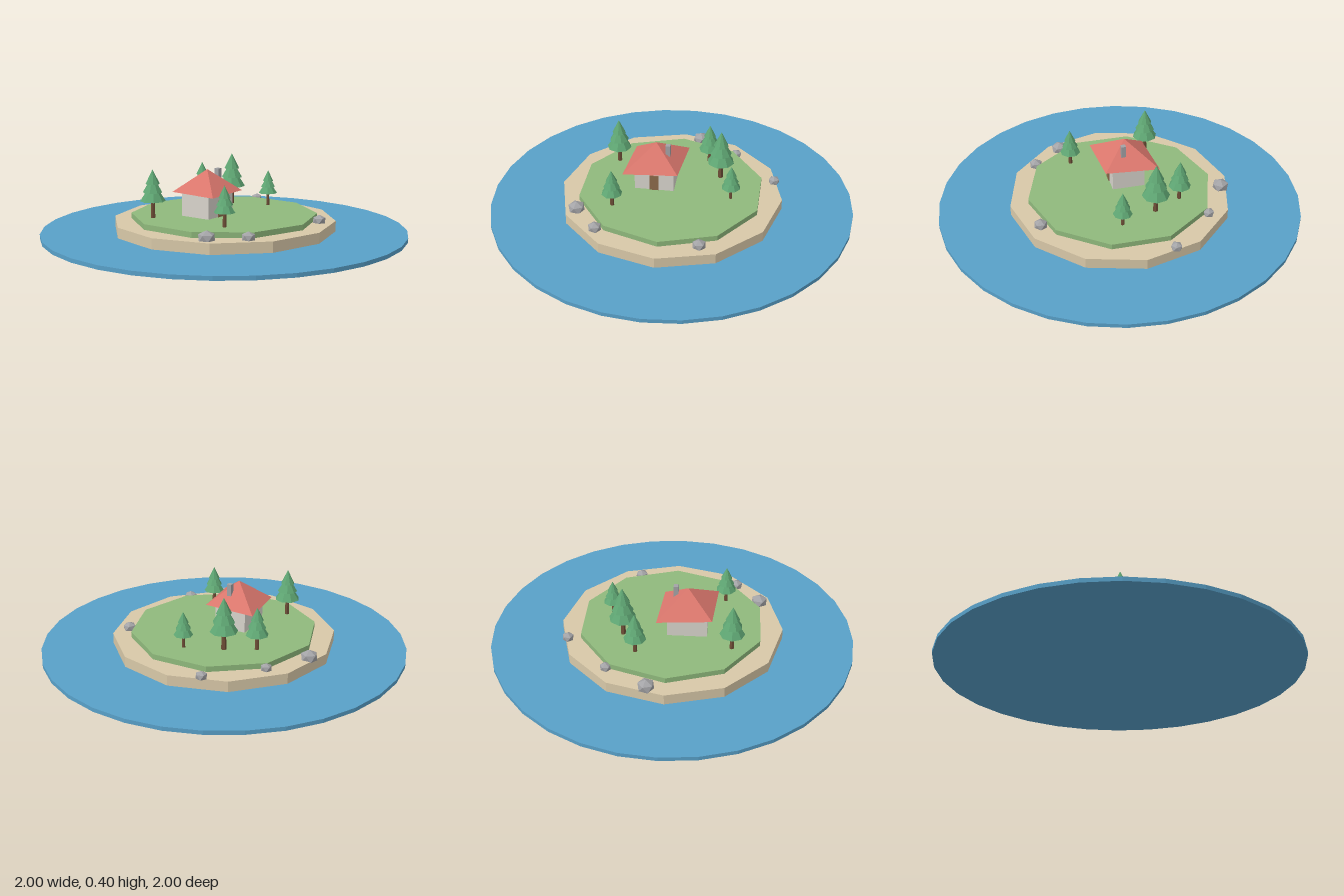
import * as THREE from 'three';

const mat = (color) => new THREE.MeshStandardMaterial({ color, flatShading: true });
const M = {
  water: mat(0x58a0c8), sand: mat(0xd8c8a8), grass: mat(0x8fb97c), wall: mat(0xd8d4cc),
  roof: mat(0xd9766c), wood: mat(0x8b6a4a), trunk: mat(0x6f4e37), leaf: mat(0x5fa673), stone: mat(0xa3a3a6),
};

function add(parent, name, geometry, material, x = 0, y = 0, z = 0) {
  const mesh = new THREE.Mesh(geometry, material);
  mesh.name = name;
  mesh.position.set(x, y, z);
  parent.add(mesh);
  return mesh;
}

// Flat prism standing between two heights
function slab(parent, name, radius, sides, y0, y1, material) {
  return add(parent, name, new THREE.CylinderGeometry(radius, radius, y1 - y0, sides), material, 0, (y0 + y1) / 2, 0);
}

const GROUND = 0.11;

// Conifer: trunk and three stacked cones, sized by total height
function tree(x, z, h, turn) {
  const g = new THREE.Group();
  g.name = 'tree';
  add(g, 'trunk', new THREE.CylinderGeometry(0.035 * h, 0.05 * h, 0.45 * h, 6), M.trunk, 0, 0.225 * h, 0);
  [[0.35, 0.76, 0.26], [0.53, 0.88, 0.205], [0.7, 1, 0.145]].forEach(([y0, y1, r], i) => {
    const cone = add(g, 'foliage', new THREE.ConeGeometry(r * h, (y1 - y0) * h, 8), M.leaf, 0, (y0 + y1) / 2 * h, 0);
    cone.rotation.y = i * 0.4;
  });
  g.position.set(x, GROUND, z);
  g.rotation.y = turn;
  return g;
}

function house() {
  const g = new THREE.Group();
  g.name = 'house';
  add(g, 'walls', new THREE.BoxGeometry(0.216, 0.13, 0.18), M.wall, 0, 0.065, 0);
  add(g, 'door', new THREE.BoxGeometry(0.05, 0.09, 0.01), M.wood, 0, 0.045, 0.09);
  // Pyramid stretched along one diagonal
  const roof = add(g, 'roof', new THREE.ConeGeometry(0.19, 0.12, 4), M.roof, 0, 0.19, 0);
  roof.scale.x = 1.2;
  roof.rotation.y = Math.PI / 4;
  add(g, 'chimney', new THREE.BoxGeometry(0.026, 0.085, 0.026), M.stone, 0.067, 0.207, 0.022);
  g.position.set(-0.09, GROUND, -0.047);
  return g;
}

export function createModel() {
  const model = new THREE.Group();
  model.name = 'island';
  slab(model, 'water', 1, 32, 0, 0.022, M.water);
  slab(model, 'beach', 0.61, 12, 0.01, 0.08, M.sand);
  slab(model, 'grass', 0.51, 10, 0.07, GROUND, M.grass);
  model.add(house());

  [[-0.333, -0.227, 0.263], [0.177, -0.29, 0.235], [0.256, -0.136, 0.29],
    [0.333, 0.063, 0.2], [-0.29, 0.219, 0.217]].forEach(([x, z, h], i) => model.add(tree(x, z, h, i * 0.7)));

  // Shore rocks: squashed icosahedra with a corner pointing up
  const rock = new THREE.IcosahedronGeometry(1, 0).rotateZ(-0.5536);
  [[0.096, -0.553, 0.048], [0.32, -0.414, 0.032], [0.555, -0.168, 0.033], [-0.48, 0.249, 0.048],
    [-0.347, 0.41, 0.038], [0.213, 0.479, 0.038]].forEach(([x, z, r], i) => {
    const mesh = add(model, 'rock', rock, M.stone, x, 0.092, z);
    mesh.scale.set(r, r * 0.82, r);
    mesh.rotation.y = i * 1.1;
  });
  return model;
}
